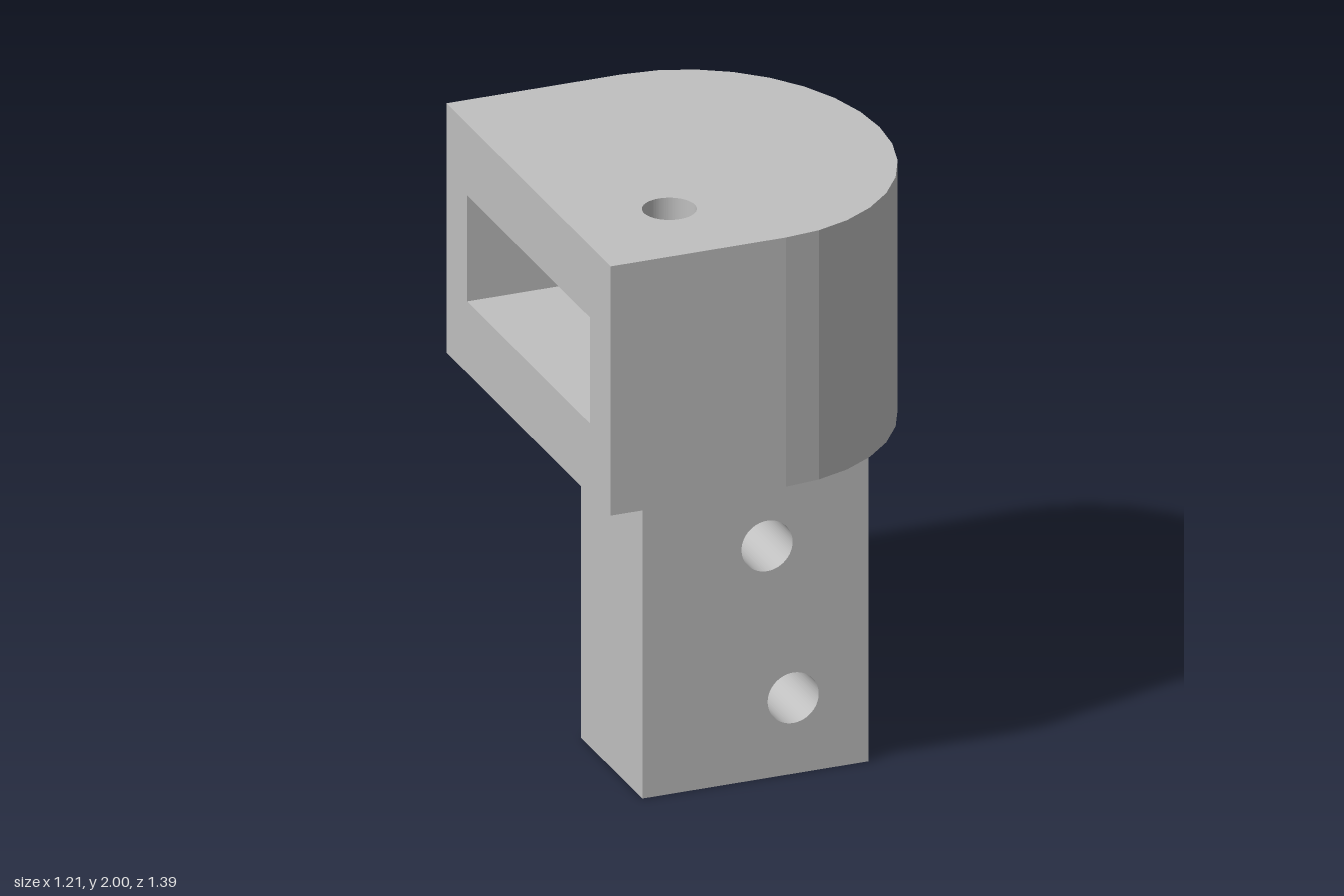
import * as THREE from 'three';

const HOLE_R = 0.088;

// Flat-faced prism from an outline of [x, y] points, with optional round holes
function prism(points, holes, depth) {
  const shape = new THREE.Shape(points.map(([x, y]) => new THREE.Vector2(x, y)));
  for (const [x, y] of holes) {
    shape.holes.push(new THREE.Path().absarc(x, y, HOLE_R, 0, Math.PI * 2, true));
  }
  return new THREE.ExtrudeGeometry(shape, { depth, bevelEnabled: false, curveSegments: 48 });
}

export function createModel() {
  const grey = new THREE.MeshStandardMaterial({ color: 0xc0c0c0 });
  grey.name = 'plain grey';
  const group = new THREE.Group();
  group.name = 'mountingBracket';

  const add = (name, geometry) => {
    const mesh = new THREE.Mesh(geometry, grey);
    mesh.name = name;
    group.add(mesh);
    return mesh;
  };

  // Half-elliptical head outline, drawn in x and -z
  const A = 0.605, B = 0.695;
  const arc = [];
  for (let i = 0; i <= 16; i++) {
    const t = -Math.PI / 2 + (i * Math.PI) / 16;
    arc.push([A * Math.cos(t), B * Math.sin(t)]);
  }
  const solid = [[-A, -B], ...arc, [-A, B]];

  // Middle layer is open on the flat side to form the pocket
  const W = 0.52, END = 0.26;
  const pocket = [...solid, [-A, W], [END, W], [END, -W], [-A, -W]];

  // Head: floor with a blind hole, pocket walls, roof with a drop hole
  const layers = [
    ['headFloor', solid, [[-0.11, -0.07]], 1.13, 1.38],
    ['pocketWalls', pocket, [], 1.38, 1.75],
    ['headRoof', solid, [[-0.26, -0.345]], 1.75, 2],
  ];
  for (const [name, outline, holes, y0, y1] of layers) {
    const geometry = prism(outline, holes, y1 - y0);
    geometry.rotateX(-Math.PI / 2);
    add(name, geometry).position.y = y0;
  }

  // Rectangular leg with two bolt holes running front to back
  const L = 0.39, H = 1.13;
  const leg = prism([[-L, 0], [L, 0], [L, H], [-L, H]], [[0.04, 0.81], [0.13, 0.265]], 0.52);
  add('leg', leg).position.z = -0.085;

  return group;
}
